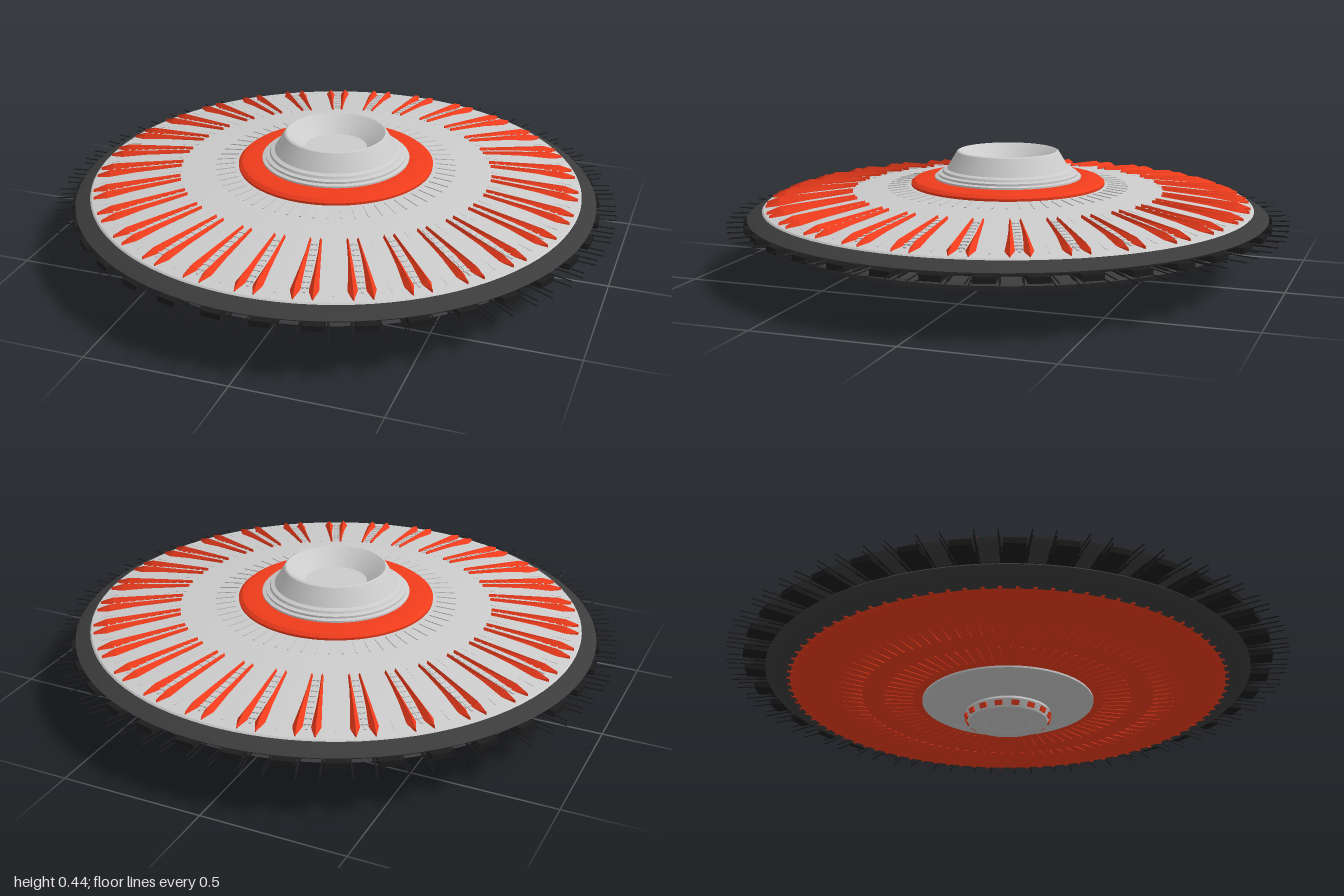
import * as THREE from 'three';
import { mergeGeometries, toCreasedNormals } from 'three/addons/utils/BufferGeometryUtils.js';

const grey = new THREE.MeshStandardMaterial({ color: 0xcccccc });
const dark = new THREE.MeshStandardMaterial({ color: 0x3c3c3c });
const black = new THREE.MeshStandardMaterial({ color: 0x1c1c1c });
const orange = new THREE.MeshStandardMaterial({ color: 0xf03c1c });

// Revolved part: profile of [radius, y] running from the bottom, outwards and up
function turned(name, profile, material, segments = 96) {
  const pts = profile.map(([r, y]) => new THREE.Vector2(r, y));
  const geo = new THREE.LatheGeometry(pts, segments);
  const mesh = new THREE.Mesh(toCreasedNormals(geo, 0.4), material);
  mesh.name = name;
  return mesh;
}

// Copies of a part drawn along +z, spaced evenly around the y axis
function around(name, geo, count, material, offset = 0) {
  const copies = [];
  for (let i = 0; i < count; i++) {
    copies.push(geo.clone().rotateY(((i + offset) / count) * Math.PI * 2));
  }
  const mesh = new THREE.Mesh(mergeGeometries(copies), material);
  mesh.name = name;
  return mesh;
}

// Bar from radius r0 to r1, its centre line going from y0 to y1
function bar(r0, y0, r1, y1, width, height, x = 0) {
  const len = Math.hypot(r1 - r0, y1 - y0);
  return new THREE.BoxGeometry(width, height, len)
    .rotateX(Math.atan2(y0 - y1, r1 - r0))
    .translate(x, (y0 + y1) / 2, (r0 + r1) / 2);
}

// Ridge-roofed fin lofted through triangular sections [x, baseY, z, width, height]
function fin(sections) {
  const ring = ([x, y, z, w, h]) => [[x - w / 2, y, z], [x, y + h, z], [x + w / 2, y, z]];
  const rings = sections.map(ring);
  const pos = [];
  const tri = (a, b, c) => pos.push(...a, ...b, ...c);
  for (let i = 0; i < rings.length - 1; i++) {
    const a = rings[i], b = rings[i + 1];
    for (let k = 0; k < 3; k++) {
      const n = (k + 1) % 3;
      tri(a[k], b[k], b[n]);
      tri(a[k], b[n], a[n]);
    }
  }
  const first = rings[0], last = rings[rings.length - 1];
  tri(first[0], first[1], first[2]);
  tri(last[0], last[2], last[1]);
  const geo = new THREE.BufferGeometry();
  geo.setAttribute('position', new THREE.Float32BufferAttribute(pos, 3));
  geo.computeVertexNormals();
  return geo;
}

export function createModel() {
  const model = new THREE.Group();
  model.name = 'flyingSaucer';

  // Upper deck and its dark rim
  model.add(turned('upperDeck', [[0.875, 0.246], [0.87, 0.251], [0.72, 0.277], [0.54, 0.3], [0.34, 0.32], [0.2, 0.325]], grey));
  model.add(turned('upperRim', [[0.78, 0.21], [0.92, 0.212], [0.928, 0.22], [0.885, 0.243], [0.868, 0.248], [0.86, 0.24]], dark));

  // Recessed core, lower rim and belly
  model.add(turned('core', [[0.79, 0.16], [0.79, 0.215]], black));
  model.add(turned('lowerRim', [[0.77, 0.127], [0.8, 0.13], [0.862, 0.163], [0.855, 0.17], [0.78, 0.175]], dark));
  model.add(turned('belly', [[0.25, 0.085], [0.36, 0.087], [0.5, 0.093], [0.65, 0.107], [0.75, 0.121], [0.79, 0.132], [0.79, 0.14]], orange));
  model.add(turned('bellyPlate', [[0.13, 0.05], [0.16, 0.051], [0.29, 0.071], [0.305, 0.079], [0.305, 0.092]], grey));

  // Bottom hub with a ring of lights
  model.add(turned('hub', [[0, 0.006], [0.075, 0.006], [0.085, 0], [0.125, 0], [0.14, 0.005], [0.153, 0.034], [0.15, 0.042], [0.135, 0.046], [0.135, 0.06]], grey, 64));
  const light = new THREE.BoxGeometry(0.026, 0.018, 0.012).rotateX(0.42).translate(0, 0.02, 0.147);
  model.add(around('hubLights', light, 16, orange, 0.5));

  // Orange collar, stepped base and hollow tower
  model.add(turned('collar', [[0.345, 0.31], [0.347, 0.328], [0.335, 0.338], [0.31, 0.343], [0.25, 0.344]], orange));
  model.add(turned('tower', [
    [0.262, 0.335], [0.262, 0.35], [0.25, 0.354], [0.25, 0.361], [0.236, 0.365], [0.232, 0.373],
    [0.218, 0.378], [0.182, 0.438], [0.176, 0.441], [0.17, 0.437], [0.11, 0.385], [0, 0.385],
  ], grey));

  // Paired fins with a slotted channel between them
  const pair = [-1, 1].map((s) => fin([
    [s * 0.017, 0.292, 0.555, 0.012, 0.016],
    [s * 0.029, 0.258, 0.815, 0.036, 0.022],
    [s * 0.031, 0.25, 0.862, 0.004, 0.012],
  ]));
  model.add(around('deckFins', mergeGeometries(pair), 29, orange));
  const slots = [bar(0.56, 0.297, 0.83, 0.259, 0.008, 0.006)];
  for (let i = 0; i < 9; i++) {
    const r = 0.58 + i * 0.028, y = 0.2965 - i * 0.0039;
    slots.push(bar(r, y, r + 0.006, y - 0.001, 0.022, 0.006));
  }
  model.add(around('finChannels', mergeGeometries(slots), 29, grey));

  // Fine radial ribs on deck and belly
  model.add(around('deckRibs', bar(0.36, 0.318, 0.43, 0.311, 0.006, 0.006), 58, grey, 0.5));
  model.add(around('deckSeams', bar(0.55, 0.298, 0.84, 0.256, 0.005, 0.004), 29, grey, 0.5));
  model.add(around('bellyRibs', bar(0.34, 0.087, 0.44, 0.09, 0.006, 0.005), 72, orange));
  model.add(around('bellyOuterRibs', bar(0.52, 0.094, 0.785, 0.13, 0.012, 0.006), 90, orange));

  // Blocks and paired antennae around the edge
  const block = new THREE.BoxGeometry(0.07, 0.02, 0.16).translate(0, 0.2, 0.86);
  model.add(around('edgeBlocks', block, 36, black, 0.5));
  const needles = [];
  for (const x of [-0.036, 0.036]) {
    for (const y of [0.205, 0.186]) {
      needles.push(bar(0.78, y, 0.999, y, 0.003, 0.003, x));
      needles.push(bar(0.78, y, 0.9, y, 0.008, 0.006, x));
    }
  }
  model.add(around('edgeAntennae', mergeGeometries(needles), 36, black));

  return model;
}
